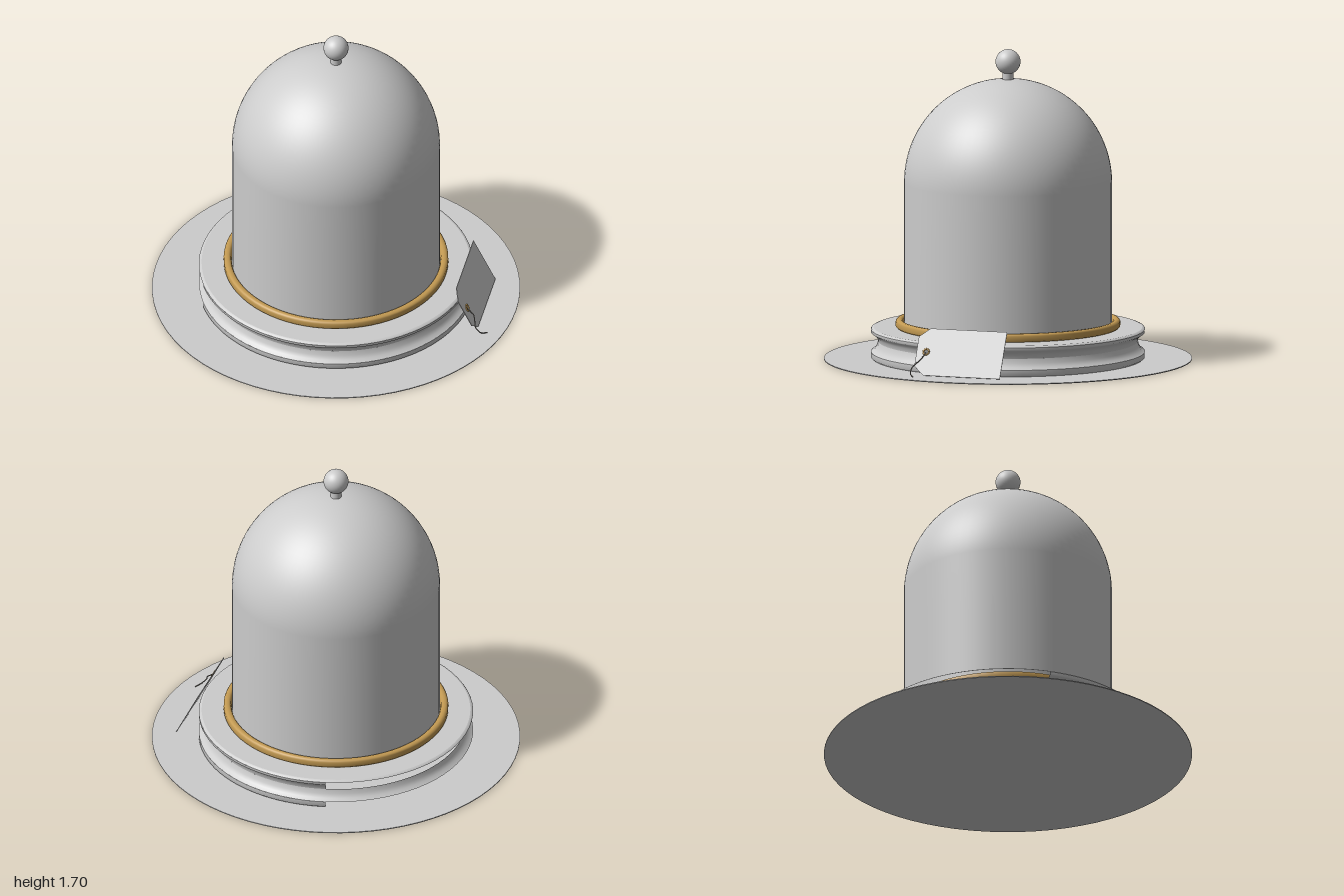
import * as THREE from 'three';

const grey = new THREE.MeshStandardMaterial({ color: 0xcccccc });
grey.name = 'pale grey';
const brass = new THREE.MeshStandardMaterial({ color: 0xc39a52 });
brass.name = 'brass';
const cord = new THREE.MeshStandardMaterial({ color: 0x77736c });
cord.name = 'cord grey';

const V = (x, y, z) => new THREE.Vector3(x, y, z);

export function createModel() {
  const model = new THREE.Group();
  model.name = 'displayDome';

  const add = (name, geometry, material, parent = model) => {
    const mesh = new THREE.Mesh(geometry, material);
    mesh.name = name;
    parent.add(mesh);
    return mesh;
  };
  // Turned band; profile runs bottom to top as [radius, height]
  const turn = (profile, start = 0, sweep = Math.PI * 2) =>
    new THREE.LatheGeometry(profile.map(([r, y]) => new THREE.Vector2(r, y)), 72, start, sweep);

  // Thin round ground plate
  add('groundPlate', new THREE.CylinderGeometry(1, 1, 0.005, 72), grey).position.y = 0.0025;

  // Plinth: some bands stop short and leave the back open
  const base = new THREE.Group();
  base.name = 'plinth';
  model.add(base);
  const half = THREE.MathUtils.degToRad(128.8);
  const front = [-half, half * 2];
  add('lowerRim', turn([[0.735, 0.005], [0.745, 0.013], [0.745, 0.042]], ...front), grey, base);
  add('lowerCove', turn([[0.745, 0.042], [0.725, 0.055], [0.712, 0.075], [0.706, 0.1]]), grey, base);
  add('upperCove', turn([[0.706, 0.1], [0.71, 0.12], [0.722, 0.135], [0.738, 0.145]], ...front), grey, base);
  add('upperRim', turn([[0.738, 0.145], [0.745, 0.15], [0.745, 0.165]], ...front), grey, base);
  add('topEdge', turn([[0.745, 0.165], [0.741, 0.171], [0.73, 0.175]]), grey, base);
  add('plinthTop', turn([[0.73, 0.175], [0, 0.175]]), grey, base);

  // Brass collar around the foot of the dome
  add('collar', turn([
    [0.567, 0.176], [0.604, 0.176], [0.61, 0.183], [0.61, 0.208], [0.604, 0.216],
    [0.595, 0.22], [0.582, 0.22], [0.572, 0.214], [0.567, 0.2], [0.567, 0.176],
  ]), brass);

  // Dome: straight wall with a half-sphere top
  const R = 0.565, spring = 0.97;
  const profile = [[R, 0.176], [R, 0.58]];
  for (let i = 0; i <= 24; i++) {
    const a = (i / 24) * Math.PI / 2;
    profile.push([i === 24 ? 0 : R * Math.cos(a), spring + R * Math.sin(a)]);
  }
  add('dome', turn(profile), grey);

  // Knob
  add('knobNeck', new THREE.CylinderGeometry(0.03, 0.03, 0.06, 32), grey).position.y = 1.55;
  add('knob', new THREE.SphereGeometry(0.068, 32, 24), grey).position.y = 1.63;

  // Label leaning against the plinth; local x runs along it, local y up its face
  const label = new THREE.Group();
  label.name = 'label';
  const u = V(0.4, 0, -0.18).normalize();
  const v = V(-0.05, 0.24, -0.11).normalize();
  label.applyMatrix4(new THREE.Matrix4().makeBasis(u, v, u.clone().cross(v)).setPosition(0.165, 0.01, 0.835));
  model.add(label);
  const outline = new THREE.Shape([
    [0, 0], [0.44, 0], [0.44, 0.27], [0, 0.27], [-0.06, 0.22], [-0.06, 0.05],
  ].map(([x, y]) => new THREE.Vector2(x, y)));
  const hole = new THREE.Path();
  hole.absarc(-0.005, 0.135, 0.012, 0, Math.PI * 2, true);
  outline.holes.push(hole);
  add('labelCard', new THREE.ExtrudeGeometry(outline, { depth: 0.004, bevelEnabled: false, curveSegments: 20 }), grey, label);
  add('eyelet', new THREE.TorusGeometry(0.016, 0.005, 10, 28), brass, label).position.set(-0.005, 0.135, 0.004);

  // String hanging from the eyelet
  const path = new THREE.CatmullRomCurve3([
    V(0.135, 0.13, 0.785), V(0.14, 0.1, 0.825), V(0.107, 0.05, 0.865), V(0.12, 0.02, 0.89), V(0.155, 0.007, 0.905),
  ]);
  add('string', new THREE.TubeGeometry(path, 32, 0.003, 8), cord);

  return model;
}
